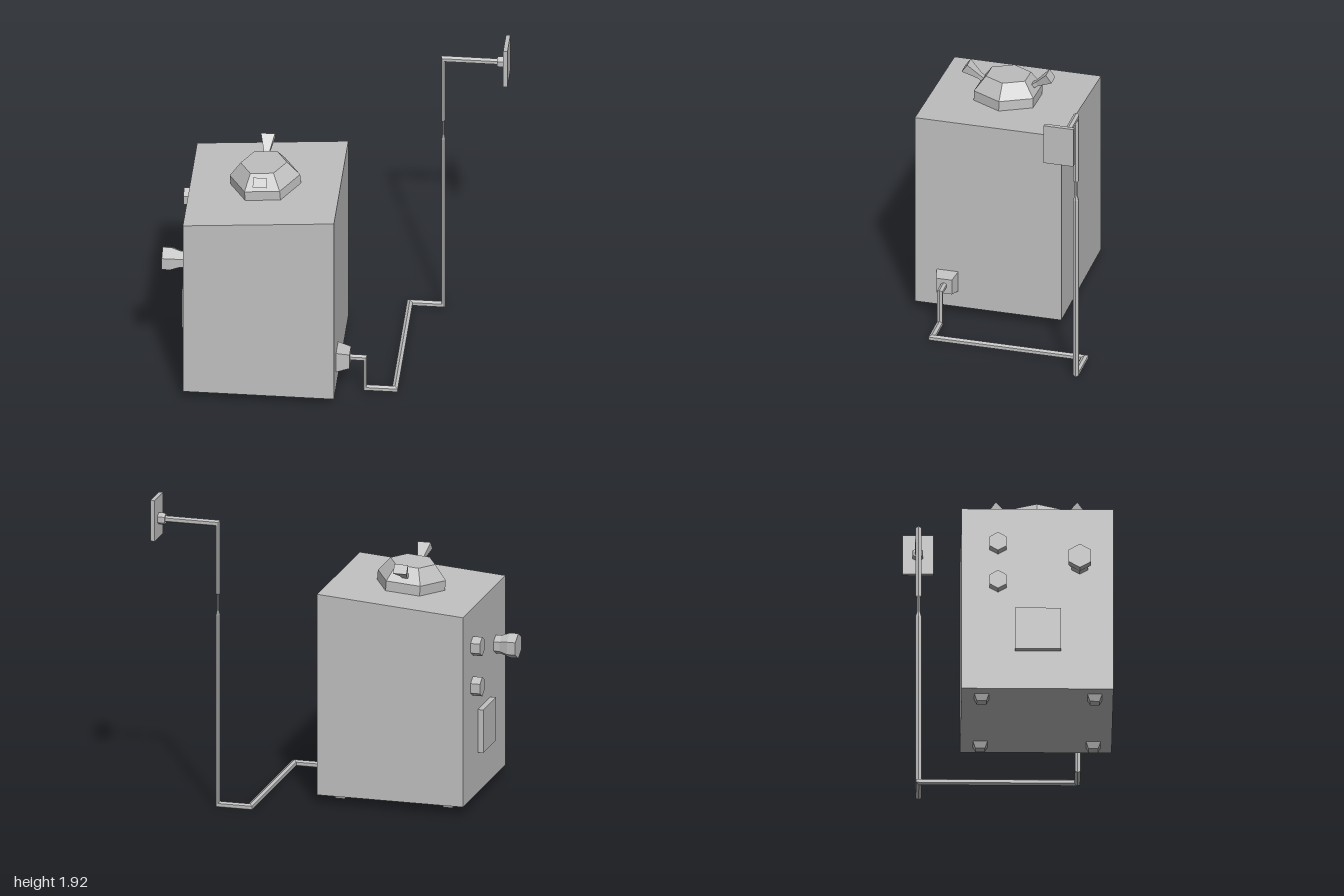
import * as THREE from 'three';

const V = (x, y, z) => new THREE.Vector3(x, y, z);

// Hexagonal solid from [radius, height] pairs, with corners on +-x
function hexSolid(profile) {
  const n = profile.length;
  const pts = [[0, profile[0][1]], ...profile, [0, profile[n - 1][1]]];
  return new THREE.LatheGeometry(pts.map(([r, y]) => new THREE.Vector2(r, y)), 6, Math.PI / 2);
}

// Square frustum, sizes measured across the flats
function frustum(top, bottom, height) {
  const g = new THREE.CylinderGeometry(top / Math.SQRT2, bottom / Math.SQRT2, height, 4);
  return g.rotateY(Math.PI / 4);
}

// Hexagonal pipe: the section is pushed along each leg onto the next mitre plane.
// Points are [x, y, z, mitre weight, section scale].
function sweepPipe(path, r) {
  const p = path.map((a) => V(a[0], a[1], a[2]));
  let ring = [];
  for (let k = 0; k < 6; k++) {
    const a = (k * Math.PI) / 3;
    ring.push(V(0, r * Math.cos(a), r * Math.sin(a)));
  }
  const pos = [], idx = [];
  p.forEach((point, i) => {
    if (i > 0) {
      const dIn = point.clone().sub(p[i - 1]).normalize();
      const dOut = i < p.length - 1 ? p[i + 1].clone().sub(point).normalize() : dIn;
      const n = dIn.clone().addScaledVector(dOut, path[i][3] ?? 1);
      const s = path[i][4] ?? 1;
      ring = ring.map((q) => q.clone().addScaledVector(dIn, -q.dot(n) / dIn.dot(n)).multiplyScalar(s));
    }
    for (const q of ring) pos.push(q.x + point.x, q.y + point.y, q.z + point.z);
    if (i === 0) return;
    for (let k = 0; k < 6; k++) {
      const a = (i - 1) * 6 + k, b = (i - 1) * 6 + ((k + 1) % 6);
      idx.push(a, b, a + 6, b, b + 6, a + 6);
    }
  });
  const g = new THREE.BufferGeometry();
  g.setAttribute('position', new THREE.Float32BufferAttribute(pos, 3));
  g.setIndex(idx);
  g.computeVertexNormals();
  return g;
}

export function createModel() {
  const model = new THREE.Group();
  const grey = new THREE.MeshStandardMaterial({ color: 0xc0c0c0, flatShading: true });
  grey.name = 'grey metal';

  const add = (name, geometry, x = 0, y = 0, z = 0, parent = model) => {
    const mesh = new THREE.Mesh(geometry, grey);
    mesh.name = name;
    mesh.position.set(x, y, z);
    parent.add(mesh);
    return mesh;
  };

  // Tank body with a sloping top
  const body = new THREE.BoxGeometry(0.912, 1.19, 0.912);
  const bp = body.attributes.position;
  for (let i = 0; i < bp.count; i++) {
    if (bp.getY(i) > 0 && bp.getX(i) > 0) bp.setY(i, bp.getY(i) + 0.07);
  }
  add('body', body, -0.403, 0.65, 0.165);

  // Feet
  for (const x of [-0.74, -0.065]) {
    for (const z of [0.51, -0.17]) add('foot', frustum(0.09, 0.058, 0.042), x, 0.036, z);
  }

  // Hexagonal lid, tilted with the top
  const lid = add('lid', hexSolid([[0.213, -0.01], [0.213, 0.062], [0.14, 0.152]]), -0.402, 1.28, 0.165);
  lid.rotation.z = Math.atan2(0.07, 0.912);

  // Two flared lid handles
  for (const turn of [0, Math.PI]) {
    const pivot = new THREE.Group();
    pivot.name = 'lidHandle';
    pivot.position.set(-0.412, 1.455, 0.165);
    pivot.rotation.y = turn;
    const arm = new THREE.Group();
    arm.position.z = 0.2625;
    arm.rotation.x = 0.96;
    const grip = frustum(1, 0.45, 0.1).scale(0.085, 1, 0.06);
    add('handleGrip', grip, 0, -0.05, 0, arm);
    add('handleNeck', new THREE.BoxGeometry(0.038, 0.08, 0.027), 0, -0.14, 0, arm);
    pivot.add(arm);
    model.add(pivot);
  }

  // Controls on the right wall
  const control = (name, profile, y, z) => {
    add(name, hexSolid(profile), -0.855, y, z).rotation.z = Math.PI / 2;
  };
  control('smallKnob', [[0.06, 0], [0.06, 0.062]], 1.005, -0.073);
  control('smallKnob', [[0.06, 0], [0.06, 0.062]], 0.753, -0.073);
  control('largeKnob', [[0.058, 0], [0.058, 0.04], [0.078, 0.092], [0.078, 0.145]], 0.873, 0.418);
  add('controlPanel', new THREE.BoxGeometry(0.04, 0.27, 0.275), -0.874, 0.44, 0.167);

  // Outlet flange on the left wall
  add('outletFlange', frustum(0.097, 0.136, 0.085), 0.09, 0.228, 0.418).rotation.z = -Math.PI / 2;

  // Pipe run with a thin stretch in the riser
  add('pipe', sweepPipe([
    [0.12, 0.233, 0.42],
    [0.222, 0.233, 0.42, 0.625],
    [0.222, 0.02, 0.42, 1.6],
    [0.403, 0.02, 0.42],
    [0.403, 0.02, -0.532],
    [0.604, 0.02, -0.532, 0.65],
    [0.604, 1.21, -0.532],
    [0.604, 1.245, -0.532, 1, 0.45],
    [0.604, 1.335, -0.532],
    [0.604, 1.345, -0.532, 1, 1 / 0.45],
    [0.604, 1.785, -0.532, 1 / 0.65],
    [0.95, 1.785, -0.532],
  ], 0.02));

  // Wall plate and its collar
  add('wallCollar', hexSolid([[0.033, 0], [0.037, 0.015], [0.037, 0.05]]), 0.93, 1.785, -0.532)
    .rotation.z = -Math.PI / 2;
  add('wallPlate', new THREE.BoxGeometry(0.026, 0.255, 0.185), 0.987, 1.793, -0.53);

  return model;
}
